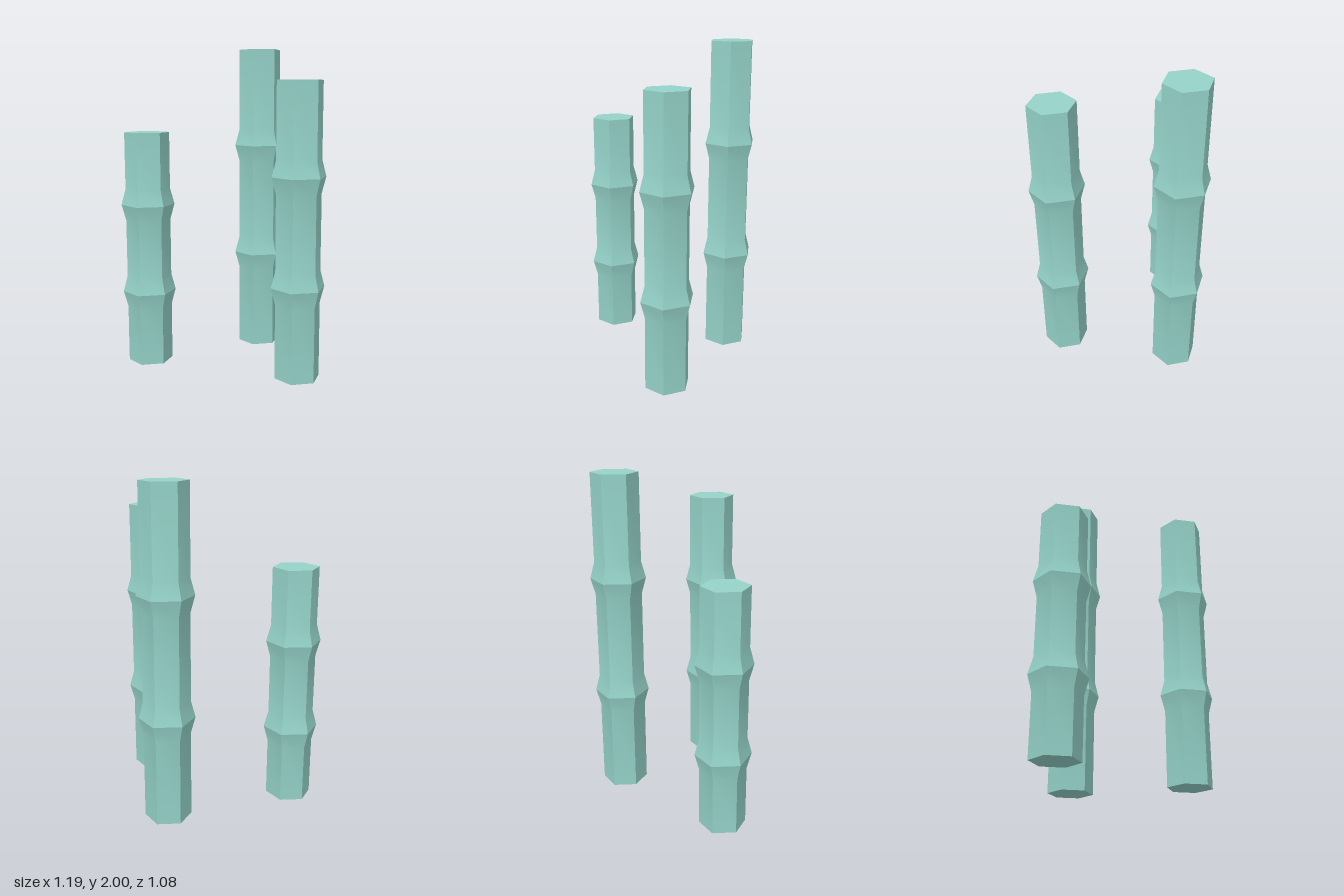
import * as THREE from 'three';
import { toCreasedNormals } from 'three/addons/utils/BufferGeometryUtils.js';

const RADIUS = 0.14;
const NODE_RADIUS = 0.167;
const NODE_HALF = 0.1;

// Hexagonal bamboo stalk with bulging joints, closed at both ends
function stalkGeometry(height, joints) {
  const profile = [[0, 0], [RADIUS, 0]];
  for (const y of joints) {
    profile.push([RADIUS, y - NODE_HALF], [NODE_RADIUS, y], [RADIUS, y + NODE_HALF]);
  }
  profile.push([RADIUS, height], [0, height]);
  const points = profile.map(([r, y]) => new THREE.Vector2(r, y));
  const lathe = new THREE.LatheGeometry(points, 6, Math.PI / 2);
  // soft where a joint flares out, sharp at its ridge and along the hexagon edges
  return toCreasedNormals(lathe, 0.35);
}

export function createModel() {
  const group = new THREE.Group();
  group.name = 'bambooStalks';
  const material = new THREE.MeshStandardMaterial({ color: 0x94d2c8 });

  const stalks = [
    { name: 'shortStalk', x: -0.43, z: 0.395, height: 1.475, joints: [0.46, 1.02] },
    { name: 'tallStalk', x: -0.243, z: -0.395, height: 2, joints: [0.635, 1.37] },
    { name: 'middleStalk', x: 0.427, z: -0.088, height: 1.79, joints: [0.565, 1.23] },
  ];
  for (const { name, x, z, height, joints } of stalks) {
    const stalk = new THREE.Mesh(stalkGeometry(height, joints), material);
    stalk.name = name;
    stalk.position.set(x, 0, z);
    group.add(stalk);
  }
  return group;
}
